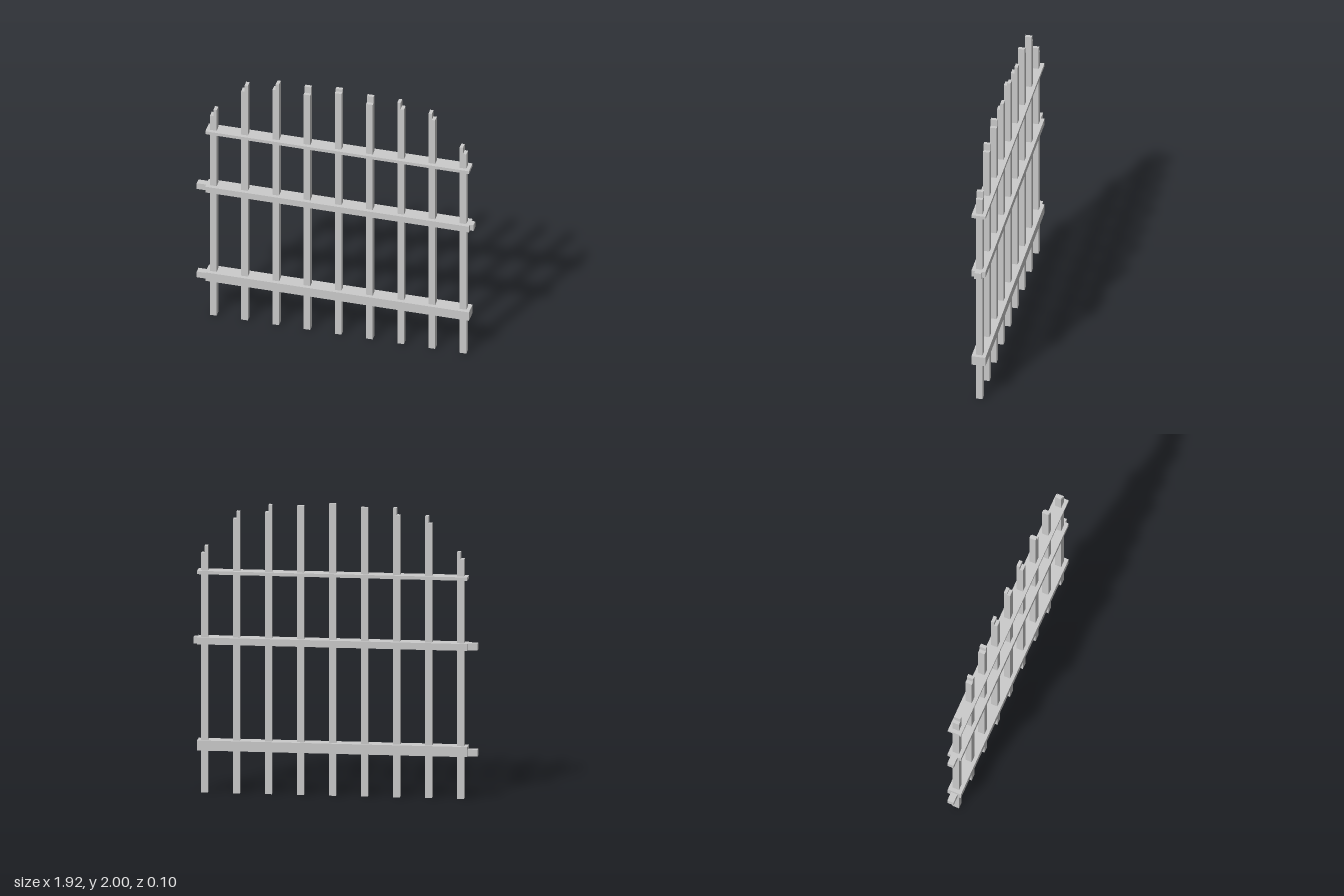
import * as THREE from 'three';

const material = new THREE.MeshStandardMaterial({ color: 0xcccccc, flatShading: true });
const BAR = 0.046;

// Square upright with a stepped top; the tall half lies on its local +x side
function makeBar(low, high) {
  const h = BAR / 2;
  const profile = new THREE.Shape([
    [-h, 0], [h, 0], [h, high], [0, high], [0, low], [-h, low],
  ].map(([x, y]) => new THREE.Vector2(x, y)));
  const geometry = new THREE.ExtrudeGeometry(profile, { depth: BAR, bevelEnabled: false });
  geometry.translate(0, 0, -h);
  return new THREE.Mesh(geometry, material);
}

// Box given by its x and y limits, centred on z = 0
function makeBeam(name, x0, x1, y0, y1, depth) {
  const mesh = new THREE.Mesh(new THREE.BoxGeometry(x1 - x0, y1 - y0, depth), material);
  mesh.position.set((x0 + x1) / 2, (y0 + y1) / 2, 0);
  mesh.name = name;
  return mesh;
}

export function createModel() {
  const gate = new THREE.Group();
  gate.name = 'barredGate';

  // Nine uprights following an arch: [low top, high top] by distance from the middle
  const tops = [[1.98, 2], [1.93, 1.98], [1.93, 1.98], [1.88, 1.93], [1.64, 1.69]];
  const bars = new THREE.Group();
  bars.name = 'uprightBars';
  for (let i = -4; i <= 4; i++) {
    const bar = makeBar(...tops[Math.abs(i)]);
    bar.name = `uprightBar${i + 5}`;
    bar.position.x = 0.021 + i * 0.217;
    // Outer bars step up towards the middle, the inner three towards the back
    if (Math.abs(i) < 2) bar.rotation.y = Math.PI / 2;
    else if (i > 0) bar.rotation.y = Math.PI;
    bars.add(bar);
  }
  gate.add(bars);

  // Cross rails
  const left = 0.937, right = -0.896, depth = 0.096;
  gate.add(
    makeBeam('lowerRail', right, left, 0.292, 0.361, depth),
    makeBeam('middleRail', right, left, 1.019, 1.066, depth),
    makeBeam('upperRail', right, left, 1.499, 1.522, depth),
  );

  // Hinge pegs on the right end, latch on the left end
  gate.add(
    makeBeam('lowerHingePeg', -0.962, right, 0.292, 0.339, BAR),
    makeBeam('middleHingePeg', -0.962, right, 1.019, 1.066, BAR),
    makeBeam('latch', left, 0.962, 1.019, 1.066, BAR),
  );
  return gate;
}
